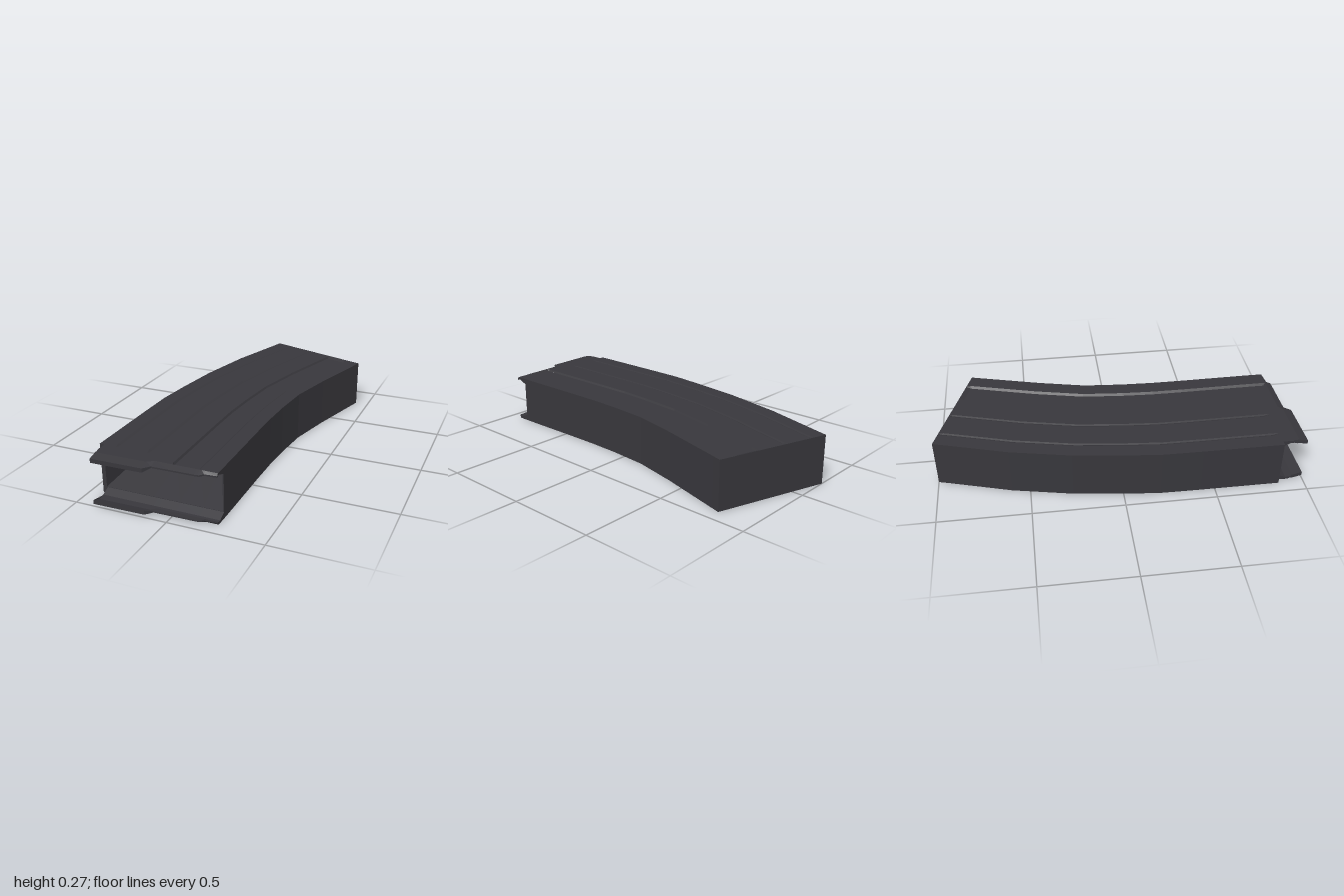
import * as THREE from 'three';

const H = 0.27;

// Left and right edge of the body at each station, back to front: [leftX, leftZ, rightX, rightZ]
const stations = [
  [-0.185, -1.0, 0.425, -0.8], [-0.192, -0.975, 0.418, -0.775], [-0.199, -0.95, 0.411, -0.75],
  [-0.305, -0.6, 0.315, -0.4], [-0.375, -0.27, 0.255, -0.14], [-0.41, 0, 0.237, 0.08],
  [-0.43, 0.2, 0.231, 0.25], [-0.432, 0.42, 0.231, 0.42], [-0.432, 0.82, 0.236, 0.82], [-0.432, 0.86, 0.236, 0.86],
];

// Face profile across the width: [fraction, depth]; two shallow grooves and one wide recess
const profile = [
  [0, 0], [0.125, 0], [0.14, 0.004], [0.155, 0], [0.385, 0], [0.4, 0.004], [0.415, 0],
  [0.645, 0], [0.655, 0.01], [0.845, 0.01], [0.865, 0], [1, 0],
];

// Skin a grid of points; rows run front-ward, columns run to +x on the top face
function skin(rows, closed = false) {
  const pos = [];
  for (let i = 0; i < rows.length - 1; i++) {
    const n = rows[i].length;
    for (let j = 0; j < (closed ? n : n - 1); j++) {
      const k = (j + 1) % n;
      const a = rows[i][j], b = rows[i][k], c = rows[i + 1][k], d = rows[i + 1][j];
      pos.push(...a, ...d, ...c, ...a, ...c, ...b);
    }
  }
  const g = new THREE.BufferGeometry();
  g.setAttribute('position', new THREE.Float32BufferAttribute(pos, 3));
  g.computeVertexNormals();
  return g;
}

// Closed ring around the body at one station
function section([lx, lz, rx, rz], i) {
  const depth = (d) => (i === 0 || (i === stations.length - 1 && d < 0.01) ? 0 : d);
  const top = profile.map(([u, d]) => [lx + (rx - lx) * u, H - depth(d), lz + (rz - lz) * u]);
  const bottom = top.map(([x, y, z]) => [x, H - y, z]).reverse();
  return [...top, ...bottom];
}

// Feed lip columns: [x, front z, inner tip y, recess depth]
const lipColumns = [
  [-0.405, 0.94, 0.25, 0], [-0.4, 0.94, 0.25, 0], [-0.399, 1.0, 0.236, 0], [-0.12, 0.995, 0.236, 0],
  [-0.09, 0.96, 0.25, 0], [-0.001, 0.958, 0.25, 0], [0.006, 0.958, 0.25, 0.01], [0.132, 0.956, 0.25, 0.01],
  [0.146, 0.955, 0.25, 0], [0.155, 0.953, 0.25, 0], [0.172, 0.935, 0.25, 0], [0.236, 0.93, 0.25, 0],
];

function lipGeometry(bottom) {
  const columns = lipColumns.map(([x, end, tipY, d]) => {
    const bend = Math.max(0.922, end - 0.05);
    return [
      [x, H - d, 0.86], [x, H - d, 0.905], [x, H, 0.92], [x, H, bend], [x, 0.258, end],
      [x, tipY, end], [x, 0.256, bend], [x, 0.256, 0.92], [x, 0.256, 0.905], [x, 0.236, 0.86],
    ];
  });
  // Fold the inner skin onto the outer one to close both ends
  const fold = (col) => col.map((p, i) => (i < 5 ? p : col[9 - i]));
  let all = [fold(columns[0]), ...columns, fold(columns[columns.length - 1])];
  if (bottom) all = all.map((col) => col.map(([x, y, z]) => [x, H - y, z])).reverse();
  return skin(all[0].map((_, i) => all.map((col) => col[i])));
}

export function createModel() {
  const model = new THREE.Group();
  model.name = 'curvedBoxMagazine';
  const metal = new THREE.MeshStandardMaterial({ color: 0x38373c });
  metal.name = 'dark grey metal';
  const add = (name, geometry) => {
    const mesh = new THREE.Mesh(geometry, metal);
    mesh.name = name;
    model.add(mesh);
  };

  // Curved shell
  const rings = stations.map(section);
  add('body', skin(rings, true));

  // Closed back end
  const [lx, lz, rx, rz] = stations[0];
  add('basePlate', skin([[[lx, 0, lz], [rx, 0, rz]], [[lx, H, lz], [rx, H, rz]]]));

  // Rim and tapered well at the open front
  const outer = rings[rings.length - 1];
  const inset = (x0, x1, y0, y1, z) => outer.map(([x, y]) => [
    x0 + (x1 - x0) * (x + 0.432) / 0.668, y > H / 2 ? y1 : y0, z,
  ]);
  const mouth = inset(-0.41, 0.23, 0.036, 0.234, 0.86);
  const floor = inset(-0.365, 0.165, 0.0975, 0.1725, 0.6);
  add('rimAndWell', skin([outer, mouth, floor], true));
  const n = profile.length;
  add('wellFloor', skin([[floor[0], floor[n - 1]], [floor[2 * n - 1], floor[n]]]));

  // Feed lips above and below the opening
  add('topLip', lipGeometry(false));
  add('bottomLip', lipGeometry(true));
  return model;
}
